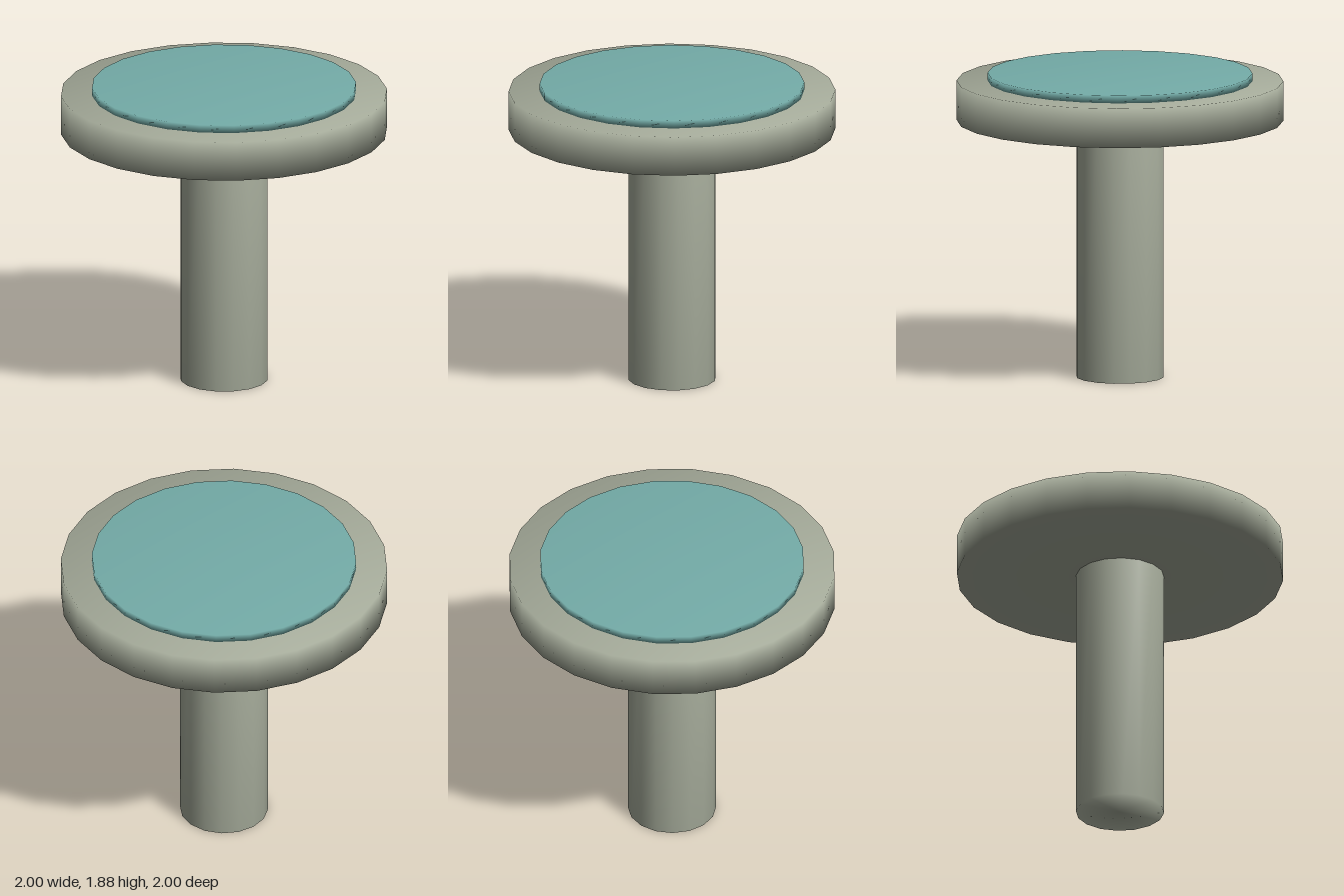
import * as THREE from 'three';
import { mergeVertices } from 'three/addons/utils/BufferGeometryUtils.js';

// Closed cylinder with normals smoothed across its rims
function softCylinder(radius, bottom, top, sides) {
  let geo = new THREE.CylinderGeometry(radius, radius, top - bottom, sides);
  geo.deleteAttribute('uv');
  geo.deleteAttribute('normal');
  geo = mergeVertices(geo, 1e-4);
  geo.computeVertexNormals();
  geo.translate(0, (bottom + top) / 2, 0);
  return geo;
}

export function createModel() {
  const group = new THREE.Group();
  group.name = 'roundStool';

  const stone = new THREE.MeshStandardMaterial({ color: 0xa5ab9a });
  stone.name = 'sage grey';
  const teal = new THREE.MeshStandardMaterial({ color: 0x74aca8 });
  teal.name = 'muted teal';

  const add = (name, geometry, material) => {
    const mesh = new THREE.Mesh(geometry, material);
    mesh.name = name;
    group.add(mesh);
  };

  // Column, broad disc and the raised coloured pad on top
  add('column', softCylinder(0.27, 0, 1.59, 16), stone);
  add('disc', softCylinder(1, 1.59, 1.835, 24), stone);
  add('topPad', softCylinder(0.81, 1.835, 1.883, 24), teal);

  return group;
}
